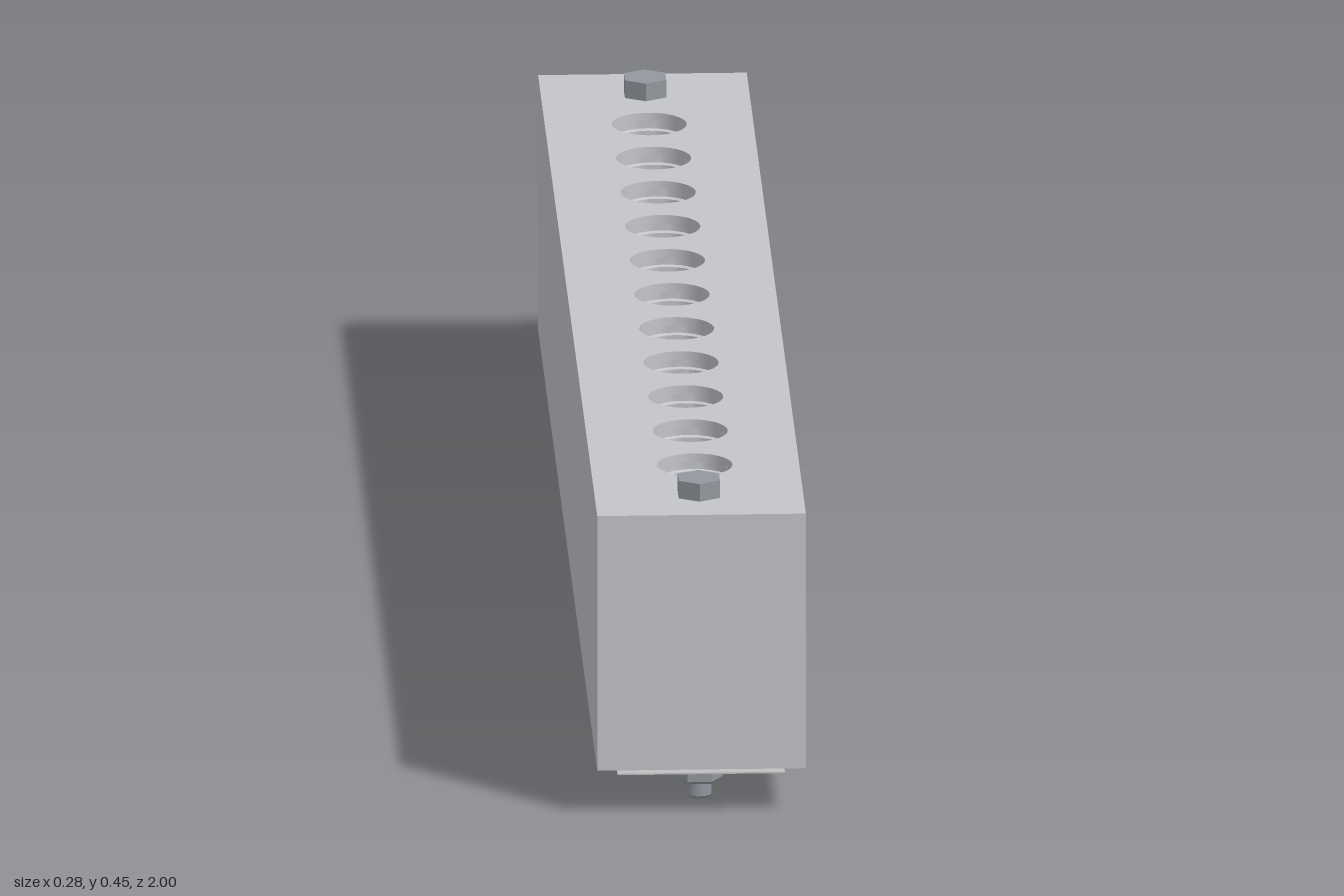
import * as THREE from 'three';
import { toCreasedNormals } from 'three/addons/utils/BufferGeometryUtils.js';

const mat = (name, color) => {
  const m = new THREE.MeshStandardMaterial({ color });
  m.name = name;
  return m;
};

export function createModel() {
  const model = new THREE.Group();
  const casing = mat('casing grey', 0xc4c5cb);
  const steel = mat('bolt steel', 0x93989f);
  const copper = mat('copper', 0xdc8f68);
  const plateGrey = mat('plate grey', 0xc0c0c0);
  const white = mat('insulator white', 0xf2f2ec);

  const add = (parent, name, geometry, material, x = 0, y = 0, z = 0) => {
    const mesh = new THREE.Mesh(geometry, material);
    mesh.name = name;
    mesh.position.set(x, y, z);
    parent.add(mesh);
    return mesh;
  };
  const rect = (Type, w, d) => new Type().setFromPoints([
    new THREE.Vector2(-w, -d), new THREE.Vector2(w, -d),
    new THREE.Vector2(w, d), new THREE.Vector2(-w, d)]);
  // Extrudes a floor-plan shape upwards
  const rise = (shape, depth) => new THREE.ExtrudeGeometry(shape,
    { depth, bevelEnabled: false, curveSegments: 32 }).rotateX(-Math.PI / 2);
  const lathe = (points, segments) => toCreasedNormals(new THREE.LatheGeometry(
    points.map(([r, y]) => new THREE.Vector2(r, y)), segments), 0.6);

  const W = 0.142, L = 1, BOTTOM = 0.066, TOP = 0.429, WALL = 0.005, LID = 0.012;
  const PITCH = 0.1545, COUNT = 11, BOLT_Z = 0.908, HOLE = 0.051;
  const stations = Array.from({ length: COUNT }, (_, i) => (i - (COUNT - 1) / 2) * PITCH);

  // Casing: four thin walls, open below, and a perforated top
  const walls = rect(THREE.Shape, W, L);
  walls.holes.push(rect(THREE.Path, W - WALL, L - WALL));
  add(model, 'casingWalls', rise(walls, TOP - LID - BOTTOM), casing, 0, BOTTOM);
  const top = rect(THREE.Shape, W, L);
  for (const z of stations) {
    top.holes.push(new THREE.Path().absarc(0, z, HOLE, 0, Math.PI * 2, true));
  }
  add(model, 'casingTop', rise(top, LID), casing, 0, TOP - LID);

  // Sockets: stepped sleeve, copper funnel and insulator block under each hole
  const sleeve = lathe([[HOLE, TOP - LID], [HOLE, 0.407], [0.046, 0.405],
    [0.046, 0.39], [0.048, 0.388], [0.048, 0.335], [0.045, 0.333]], 32);
  const funnel = lathe([[0.045, 0.333], [0.001, 0.27]], 24);
  const block = new THREE.BoxGeometry(0.2, 0.19, 0.105);
  for (const z of stations) {
    const socket = new THREE.Group();
    socket.name = 'socket';
    socket.position.z = z;
    add(socket, 'sleeve', sleeve, casing);
    add(socket, 'copperFunnel', funnel, copper);
    add(socket, 'insulator', block, white, 0, 0.167);
    model.add(socket);
  }

  // Flat ribs across the underside between the sockets
  const rib = new THREE.BoxGeometry(0.25, 0.004, PITCH - 0.105);
  for (let i = 0; i <= COUNT; i++) {
    add(model, 'rib', rib, casing, 0, 0.07, (i - COUNT / 2) * PITCH);
  }

  // Bottom plate hung just below the casing
  add(model, 'bottomPlate', new THREE.BoxGeometry(0.228, 0.002, 1.976), plateGrey, 0, 0.0565);

  // Bolts: hex head, shank, spacer and chamfered nut
  const hex = (r, h) => toCreasedNormals(new THREE.CylinderGeometry(r, r, h, 6), 0.3);
  const head = hex(0.0325, 0.025);
  const spacer = hex(0.0325, 0.04);
  const nut = toCreasedNormals(new THREE.LatheGeometry([[0, 0.024], [0.029, 0.024], [0.033, 0.028],
    [0.033, 0.054], [0.029, 0.058], [0, 0.058]].map(([r, y]) => new THREE.Vector2(r, y)), 6), 0.2)
    .rotateY(Math.PI / 6);
  const shank = lathe([[0, 0], [0.014, 0], [0.017, 0.004], [0.017, 0.44], [0, 0.44]], 20);
  for (const side of [-1, 1]) {
    const bolt = new THREE.Group();
    bolt.name = side > 0 ? 'frontBolt' : 'backBolt';
    bolt.position.z = side * BOLT_Z;
    add(bolt, 'boltHead', head, steel, 0, TOP + 0.0125);
    add(bolt, 'boltShank', shank, steel);
    add(bolt, 'spacer', spacer, steel, 0, 0.078);
    add(bolt, 'nut', nut, steel);
    model.add(bolt);
  }
  return model;
}
